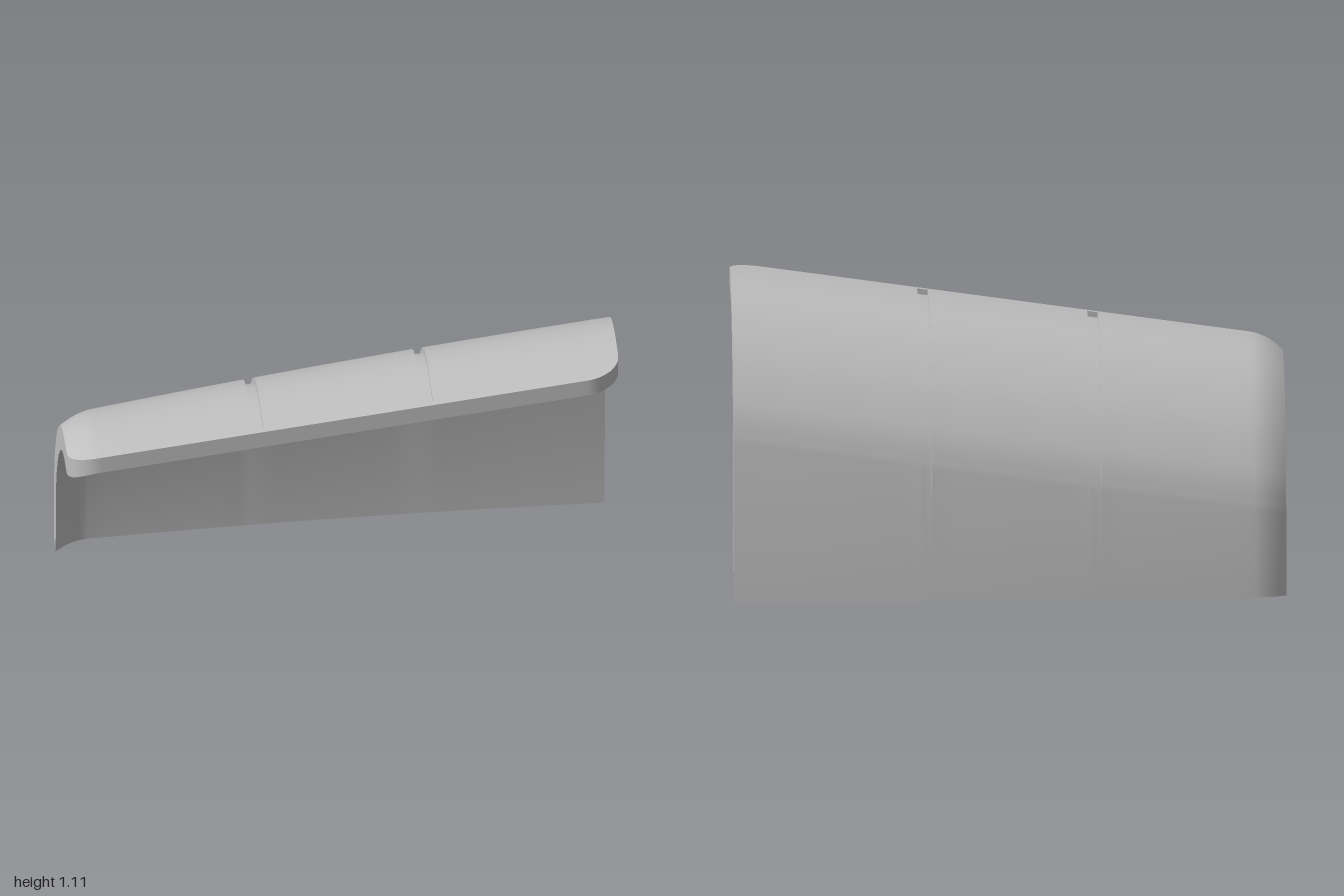
import * as THREE from 'three';
import { toCreasedNormals } from 'three/addons/utils/BufferGeometryUtils.js';

const THICK = 0.066, R = 0.12, FRONT = 0.408, GROOVE = 0.02;

// Rows of the section from the foot, over the arch, to the front lip.
// Each has z, y, the inward normal (nz, ny); lip rows have t, the way to the front edge.
function sectionRows() {
  const arch = new THREE.SplineCurve([
    [-0.374, 0.582], [-0.344, 0.692], [-0.276, 0.818], [-0.2, 0.915],
    [-0.1, 1.005], [0, 1.063], [0.1, 1.095], [0.19, 1.108],
  ].map(p => new THREE.Vector2(...p)));
  const rows = [{ foot: true, nz: 1, ny: 0, g: 1 }];
  const n = 28;
  for (let i = 0; i <= n; i++) {
    const p = arch.getPoint(i / n), d = arch.getTangent(i / n);
    rows.push({ z: p.x, y: p.y, nz: d.y, ny: -d.x, g: 1 });
  }
  for (const [t, g] of [[0.3, 1], [0.6, 1], [0.875, 1], [0.875, 0], [1, 0]])
    rows.push({ t, z: 0.19, y: 1.11, nz: 0, ny: -1, g });
  return rows;
}

// Stations along x: rounded ends, plain middle, doubled edges at the grooves.
function stations() {
  const cols = [];
  for (let i = 0; i <= 12; i++) {
    const x = 1 - R + R * Math.sin((i / 12) * Math.PI / 2);
    cols.push({ x, g: 0 }, { x: -x, g: 0 });
  }
  for (let x = -0.8; x < 0.85; x += 0.1) {
    if (Math.abs(Math.abs(x) - 0.3) > 0.05) cols.push({ x, g: 0 });
  }
  for (const c of [-0.313, 0.302]) {
    const a = c - 0.019, b = c + 0.019;
    cols.push({ x: a, g: 0 }, { x: a + 1e-7, g: 1 }, { x: b - 1e-7, g: 1 }, { x: b, g: 0 });
  }
  return cols.sort((p, q) => p.x - q.x);
}

// One point of the shell, on the outer or inner skin
function shellPoint(row, col, inner) {
  const x = col.x;
  const over = Math.max(0, Math.abs(x) - (1 - R));
  const front = FRONT - R + Math.sqrt(Math.max(0, R * R - over * over));
  const dz = 0.021 * Math.max(0, 0.8 - x) ** 2, dy = -0.1385 * (1 - x);
  // the low end curls inward
  const curl = x < 0 ? (over / R) ** 2 : 0;
  const depth = inner ? THICK + 0.058 * curl : 0.036 * curl + GROOVE * row.g * col.g;
  if (row.foot) {
    const z = -0.374 + dz - 0.06 * (0.582 + dy);
    return new THREE.Vector3(x, 0, z + depth);
  }
  let z = row.z + dz;
  if (row.t) z += (front - z) * row.t;
  return new THREE.Vector3(x, row.y + dy + row.ny * depth, Math.min(front, z + row.nz * depth));
}

function shellGeometry() {
  const rows = sectionRows(), cols = stations(), pos = [];
  const tri = (a, b, c) => {
    const area = b.clone().sub(a).cross(c.clone().sub(a)).length();
    if (area > 1e-8) pos.push(...a, ...b, ...c);
  };
  const quad = (a, b, c, d) => { tri(a, b, c); tri(a, c, d); };
  const rings = cols.map(col => [
    ...rows.map(r => shellPoint(r, col, false)),
    ...rows.map(r => shellPoint(r, col, true)).reverse(),
  ]);
  const n = rings[0].length;
  // skins, front edge and foot
  for (let i = 0; i < rings.length - 1; i++) {
    for (let j = 0; j < n; j++) {
      const k = (j + 1) % n, a = rings[i], b = rings[i + 1];
      quad(a[j], a[k], b[k], b[j]);
    }
  }
  // end faces
  const lo = rings[0], hi = rings[rings.length - 1];
  for (let j = 0; j < rows.length - 1; j++) {
    const p = n - 1 - j;
    quad(lo[j], lo[p], lo[p - 1], lo[j + 1]);
    quad(hi[j], hi[j + 1], hi[p - 1], hi[p]);
  }
  const geo = new THREE.BufferGeometry();
  geo.setAttribute('position', new THREE.Float32BufferAttribute(pos, 3));
  return toCreasedNormals(geo, 0.5);
}

export function createModel() {
  const group = new THREE.Group();
  group.name = 'curvedCover';
  const grey = new THREE.MeshStandardMaterial({ color: 0xc0c0c0 });
  grey.name = 'light grey';
  const shell = new THREE.Mesh(shellGeometry(), grey);
  shell.name = 'groovedShell';
  group.add(shell);
  return group;
}
